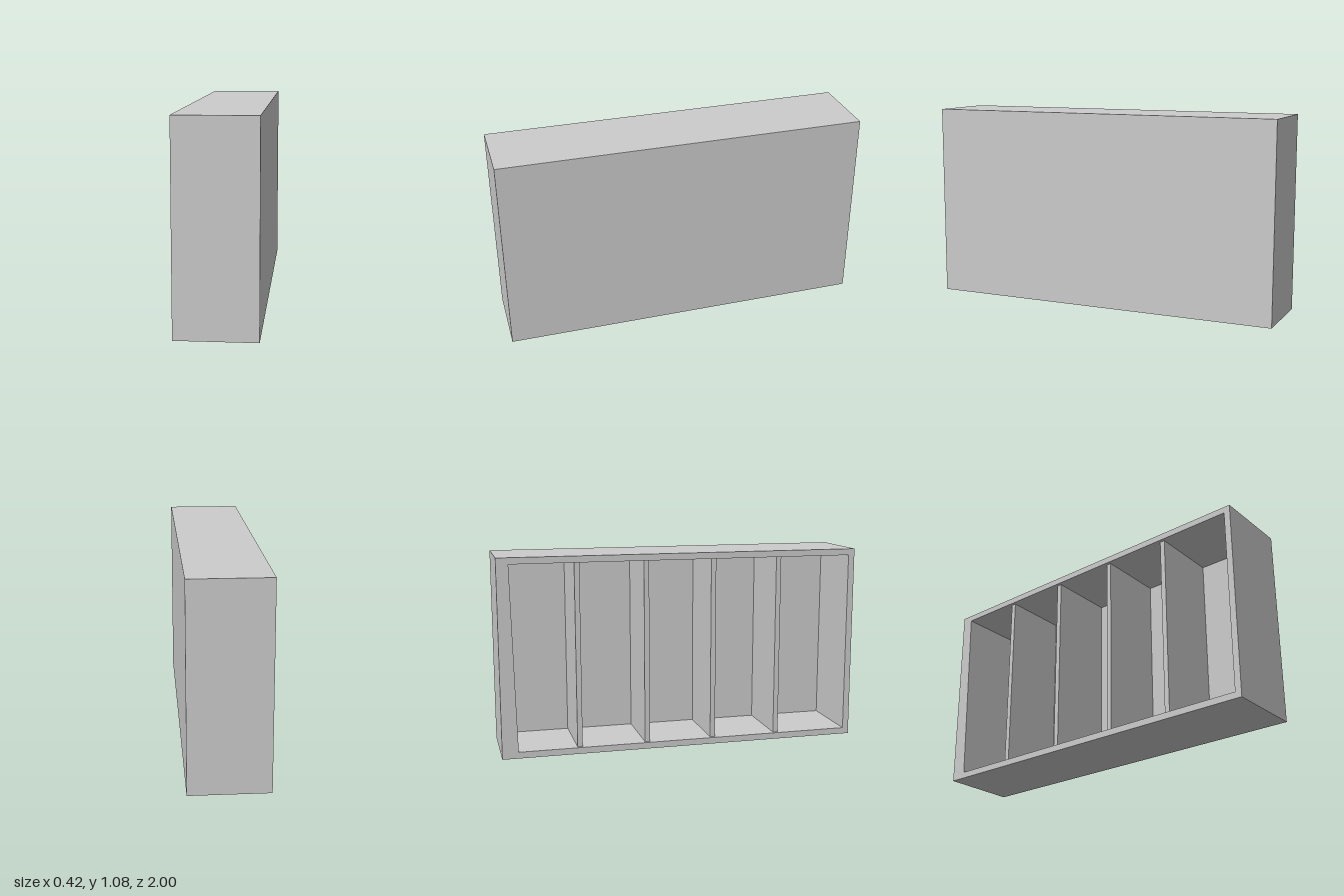
import * as THREE from 'three';

const W = 0.42, H = 1.08, L = 2, T = 0.035, BACK = 0.03;
const material = new THREE.MeshStandardMaterial({ color: 0xcccccc, flatShading: true });

export function createModel() {
  const model = new THREE.Group();
  model.name = 'shelvingCabinet';

  function add(name, geometry, x, y, z) {
    const mesh = new THREE.Mesh(geometry, material);
    mesh.name = name;
    mesh.position.set(x, y, z);
    model.add(mesh);
  }
  const board = (name, w, h, d, x, y, z) => add(name, new THREE.BoxGeometry(w, h, d), x, y, z);

  // Outer case, open towards -x
  const innerH = H - 2 * T;
  board('topPanel', W, T, L, 0, H - T / 2, 0);
  board('bottomPanel', W, T, L, 0, T / 2, 0);
  board('frontEndPanel', W, innerH, T, 0, H / 2, L / 2 - T / 2);
  board('closedSidePanel', BACK, innerH, L - T, W / 2 - BACK / 2, H / 2, -T / 2);

  // Rear end panel, a little thicker towards its foot
  const profile = new THREE.Shape([
    new THREE.Vector2(1, T),
    new THREE.Vector2(1, H - T),
    new THREE.Vector2(0.935, H - T),
    new THREE.Vector2(0.912, T),
  ]);
  const endGeometry = new THREE.ExtrudeGeometry(profile, { depth: W - BACK, bevelEnabled: false });
  endGeometry.rotateY(Math.PI / 2);
  endGeometry.translate(-W / 2, 0, 0);
  add('rearEndPanel', endGeometry, 0, 0, 0);

  // Upright dividers, set slightly back from the open edge
  const recess = 0.018, dividerT = 0.028;
  const dividerW = W - BACK - recess;
  for (let i = 0; i < 4; i++) {
    board('divider' + (i + 1), dividerW, innerH, dividerT,
      -W / 2 + recess + dividerW / 2, H / 2, -0.577 + i * 0.377);
  }
  return model;
}
